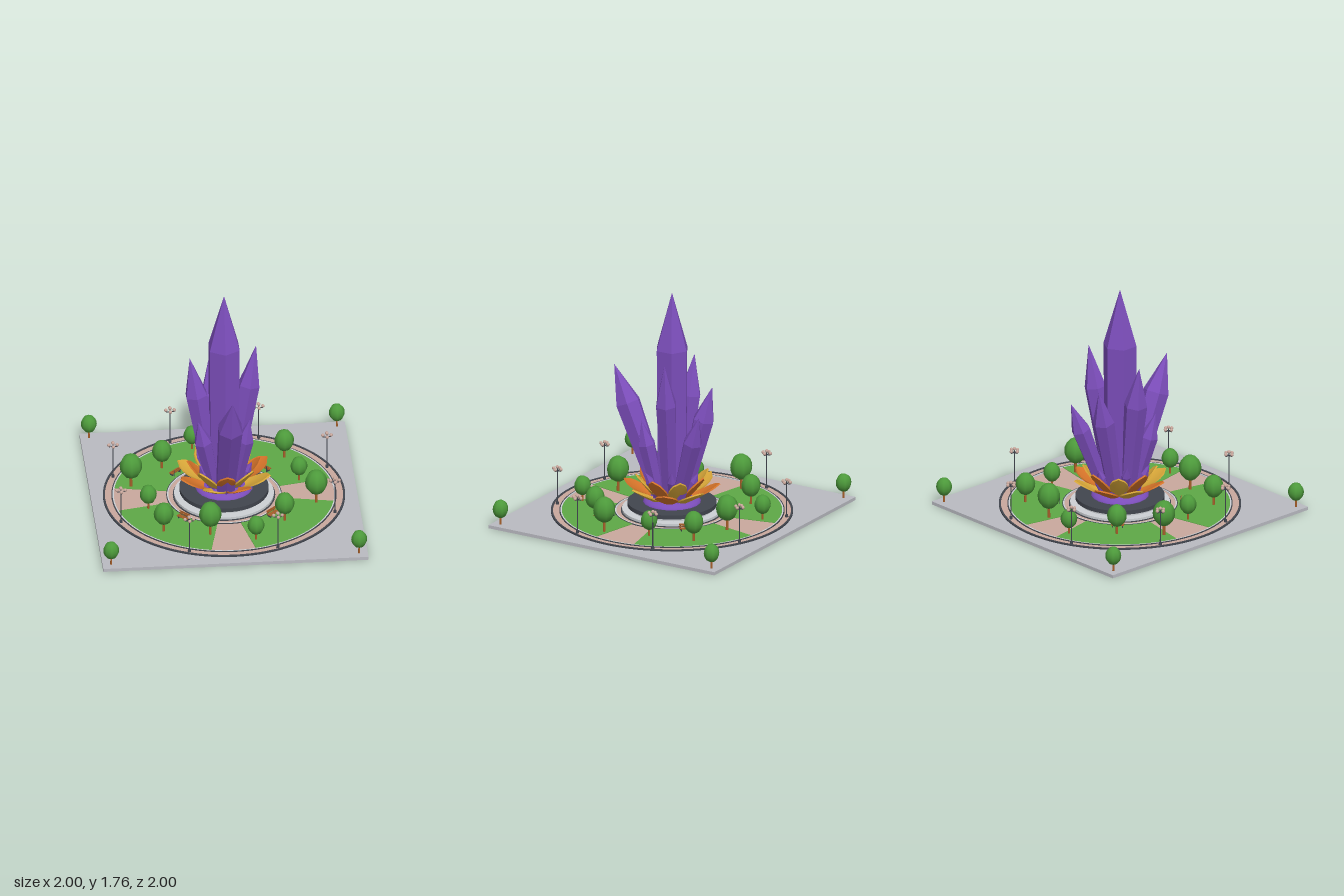
import * as THREE from 'three';

const paint = (name, color) => {
  const m = new THREE.MeshStandardMaterial({ color });
  m.name = name;
  return m;
};

export function createModel() {
  const model = new THREE.Group();
  model.name = 'crystalPlaza';
  const concrete = paint('concrete', 0xb9bac1), paving = paint('pinkPaving', 0xc9a89d);
  const grass = paint('grass', 0x5ea846), dark = paint('darkStone', 0x41454e);
  const stone = paint('lightStone', 0xccd0d4), violet = paint('violetCrystal', 0x7b4dba);
  const orange = paint('orangePetal', 0xd8752a), gold = paint('goldPetal', 0xdcaa3a);
  const leaves = paint('foliage', 0x4d9a3b), wood = paint('wood', 0xa8602a);

  const add = (name, geo, mat, x = 0, y = 0, z = 0, parent = model) => {
    const mesh = new THREE.Mesh(geo, mat);
    mesh.name = name;
    mesh.position.set(x, y, z);
    parent.add(mesh);
    return mesh;
  };
  const group = (name, x = 0, y = 0, z = 0, turn = 0) => {
    const g = new THREE.Group();
    g.name = name;
    g.position.set(x, y, z);
    g.rotation.y = turn;
    model.add(g);
    return g;
  };
  const disc = (name, r, y0, y1, mat) =>
    add(name, new THREE.CylinderGeometry(r, r, y1 - y0, 64), mat, 0, (y0 + y1) / 2, 0);
  const slab = (name, shape, y0, y1, mat) => {
    const geo = new THREE.ExtrudeGeometry(shape, { depth: y1 - y0, bevelEnabled: false, curveSegments: 48 });
    geo.rotateX(-Math.PI / 2);
    return add(name, geo, mat, 0, y0, 0);
  };
  const ring = (name, inner, outer, y1, mat) => {
    const s = new THREE.Shape().absarc(0, 0, outer, 0, Math.PI * 2, false);
    s.holes.push(new THREE.Path().absarc(0, 0, inner, 0, Math.PI * 2, true));
    slab(name, s, 0.02, y1, mat);
  };

  // Ground, round path, lawns and kerbs
  add('groundSlab', new THREE.BoxGeometry(2, 0.025, 2), concrete, 0, 0.0125, 0);
  disc('pathDisc', 0.9, 0.02, 0.03, paving);
  for (let i = 0; i < 4; i++) {
    const a = i * Math.PI / 2 + 0.205, b = (i + 1) * Math.PI / 2 - 0.205;
    const s = new THREE.Shape().absarc(0, 0, 0.83, a, b, false);
    s.absarc(0, 0, 0.425, b, a, true);
    slab('lawn', s, 0.025, 0.034, grass);
  }
  ring('outerKerb', 0.895, 0.91, 0.036, dark);
  ring('middleKerb', 0.838, 0.846, 0.036, dark);
  ring('middleKerbEdge', 0.828, 0.838, 0.036, stone);
  ring('innerKerb', 0.428, 0.434, 0.036, dark);
  ring('innerKerbEdge', 0.418, 0.428, 0.036, stone);

  // Stepped plinth
  disc('plinthStepEdge', 0.385, 0.03, 0.035, dark);
  disc('plinthStep', 0.375, 0.03, 0.053, stone);
  disc('plinthBody', 0.31, 0.053, 0.078, stone);
  disc('plinthTop', 0.335, 0.075, 0.106, dark);

  // Six-sided crystals, each from foot to tip
  const up = new THREE.Vector3(0, 1, 0);
  const crystal = (name, foot, tip, r, shoulder = 0.72, footScale = 0.65) => {
    const a = new THREE.Vector3(...foot), d = new THREE.Vector3(...tip).sub(a), len = d.length();
    const profile = [[0, 0], [r * footScale, 0], [r, len * shoulder], [0, len]].map(p => new THREE.Vector2(...p));
    const geo = new THREE.LatheGeometry(profile, 6).toNonIndexed();
    geo.computeVertexNormals();
    add(name, geo, violet, ...foot).quaternion.setFromUnitVectors(up, d.normalize());
  };
  crystal('mainCrystal', [0, 0.1, 0], [0, 1.765, 0], 0.13, 0.733, 0.92);
  crystal('frontCrystal', [0, 0.1, 0.08], [0.02, 1.11, 0.5], 0.1, 0.72, 0.75);
  crystal('leftCrystal', [0.06, 0.1, -0.02], [0.25, 1.27, -0.09], 0.085);
  crystal('rightCrystal', [-0.08, 0.1, 0], [-0.255, 1.21, -0.04], 0.09);
  crystal('backCrystal', [-0.03, 0.1, -0.07], [-0.09, 1.04, -0.3], 0.085);
  crystal('backLeftCrystal', [0.06, 0.1, -0.08], [0.17, 0.88, -0.345], 0.075);
  crystal('frontLeftCrystal', [0.07, 0.1, 0.06], [0.18, 0.77, 0.16], 0.068);
  crystal('frontRightCrystal', [-0.07, 0.1, 0.06], [-0.21, 0.775, 0.17], 0.07);
  for (let i = 0; i < 6; i++) {
    const a = i * Math.PI / 3 + 0.5, c = Math.cos(a), s = Math.sin(a);
    crystal('smallCrystal', [c * 0.09, 0.1, s * 0.09], [c * 0.23, 0.37 + 0.04 * (i % 2), s * 0.23], 0.035);
  }
  add('crystalMound', new THREE.SphereGeometry(1, 20, 8, 0, Math.PI * 2, 0, Math.PI / 2), violet, 0, 0.1, 0)
    .scale.set(0.22, 0.065, 0.22);

  // Cupped, pointed petals: a thin box bent along its length
  const petalGeometry = (r0, r1, y0, y1, half) => {
    const geo = new THREE.BoxGeometry(2, 1, 0.012, 4, 7, 1), p = geo.attributes.position;
    for (let i = 0; i < p.count; i++) {
      const u = p.getX(i), t = p.getY(i) + 0.5, k = p.getZ(i);
      const w = half * (t < 0.6 ? 0.5 + 0.5 * Math.sin(t / 0.6 * Math.PI / 2) : Math.sqrt(Math.max(0, 1 - ((t - 0.6) / 0.4) ** 1.5)));
      p.setXYZ(i, u * w, y0 + (y1 - y0) * t ** 1.15 + 0.02 * u * u * (1 - t) - k * 0.7,
        r0 + (r1 - r0) * t - 0.02 * u * u * (1 - t) + k * 0.7);
    }
    geo.computeVertexNormals();
    return geo;
  };
  const outer = petalGeometry(0.12, 0.365, 0.115, 0.265, 0.085);
  const inner = petalGeometry(0.1, 0.28, 0.12, 0.34, 0.07);
  for (let i = 0; i < 8; i++) {
    const a = i * Math.PI / 4;
    add('outerPetal', outer, i % 2 ? gold : orange).rotation.y = a + Math.PI / 8;
    add('innerPetal', inner, i % 2 ? gold : orange).rotation.y = a;
  }

  // Trees: x, z and crown radius
  const trees = [
    [-0.18, -0.69, 0.063], [0.155, -0.585, 0.085], [0.5, -0.505, 0.074], [0.58, -0.16, 0.064],
    [-0.43, -0.43, 0.074], [-0.685, -0.185, 0.085], [-0.585, 0.155, 0.064], [-0.5, 0.495, 0.075],
    [-0.155, 0.575, 0.085], [0.18, 0.68, 0.064], [0.42, 0.42, 0.074], [0.68, 0.175, 0.085],
    [-0.935, -0.935, 0.06], [0.935, -0.935, 0.06], [-0.935, 0.935, 0.06], [0.935, 0.935, 0.06],
  ];
  for (const [x, z, r] of trees) {
    const tree = group('tree', x, 0.025, z);
    const h = r * 2.45 - 0.025;
    add('treeTrunk', new THREE.CylinderGeometry(r * 0.1, r * 0.14, h, 6), wood, 0, h / 2, 0, tree);
    add('treeCrown', new THREE.SphereGeometry(r, 8, 10), leaves, 0, h, 0, tree).scale.y = 1.18;
  }

  // Street lamps around the path
  const globe = new THREE.SphereGeometry(0.013, 10, 8);
  for (let i = 0; i < 8; i++) {
    const a = (i + 0.5) * Math.PI / 4;
    const lamp = group('streetLamp', Math.cos(a) * 0.873, 0.03, Math.sin(a) * 0.873);
    add('lampFoot', new THREE.CylinderGeometry(0.01, 0.013, 0.02, 8), dark, 0, 0.01, 0, lamp);
    add('lampPole', new THREE.CylinderGeometry(0.004, 0.005, 0.28, 6), dark, 0, 0.14, 0, lamp);
    add('lampTopGlobe', globe, paving, 0, 0.295, 0, lamp);
    add('lampArm', new THREE.BoxGeometry(0.064, 0.005, 0.005), dark, 0, 0.265, 0, lamp);
    add('lampArm', new THREE.BoxGeometry(0.005, 0.005, 0.064), dark, 0, 0.265, 0, lamp);
    for (const [x, z] of [[1, 0], [-1, 0], [0, 1], [0, -1]])
      add('lampGlobe', globe, paving, x * 0.032, 0.28, z * 0.032, lamp);
  }

  // Slatted benches, backs to the plinth
  for (let i = 0; i < 4; i++) {
    const a = (i + 0.5) * Math.PI / 2;
    const bench = group('bench', Math.sin(a) * 0.475, 0.03, Math.cos(a) * 0.475, a);
    for (let k = 0; k < 3; k++)
      add('seatSlat', new THREE.BoxGeometry(0.1, 0.005, 0.01), wood, 0, 0.024, -0.007 + k * 0.012, bench);
    for (let k = 0; k < 2; k++)
      add('backSlat', new THREE.BoxGeometry(0.1, 0.01, 0.005), wood, 0, 0.036 + k * 0.014, -0.016, bench);
    for (const x of [-0.038, 0.038]) {
      add('benchLeg', new THREE.BoxGeometry(0.006, 0.022, 0.03), dark, x, 0.011, 0.003, bench);
      add('benchBackPost', new THREE.BoxGeometry(0.006, 0.052, 0.004), dark, x, 0.026, -0.02, bench);
    }
  }
  return model;
}
